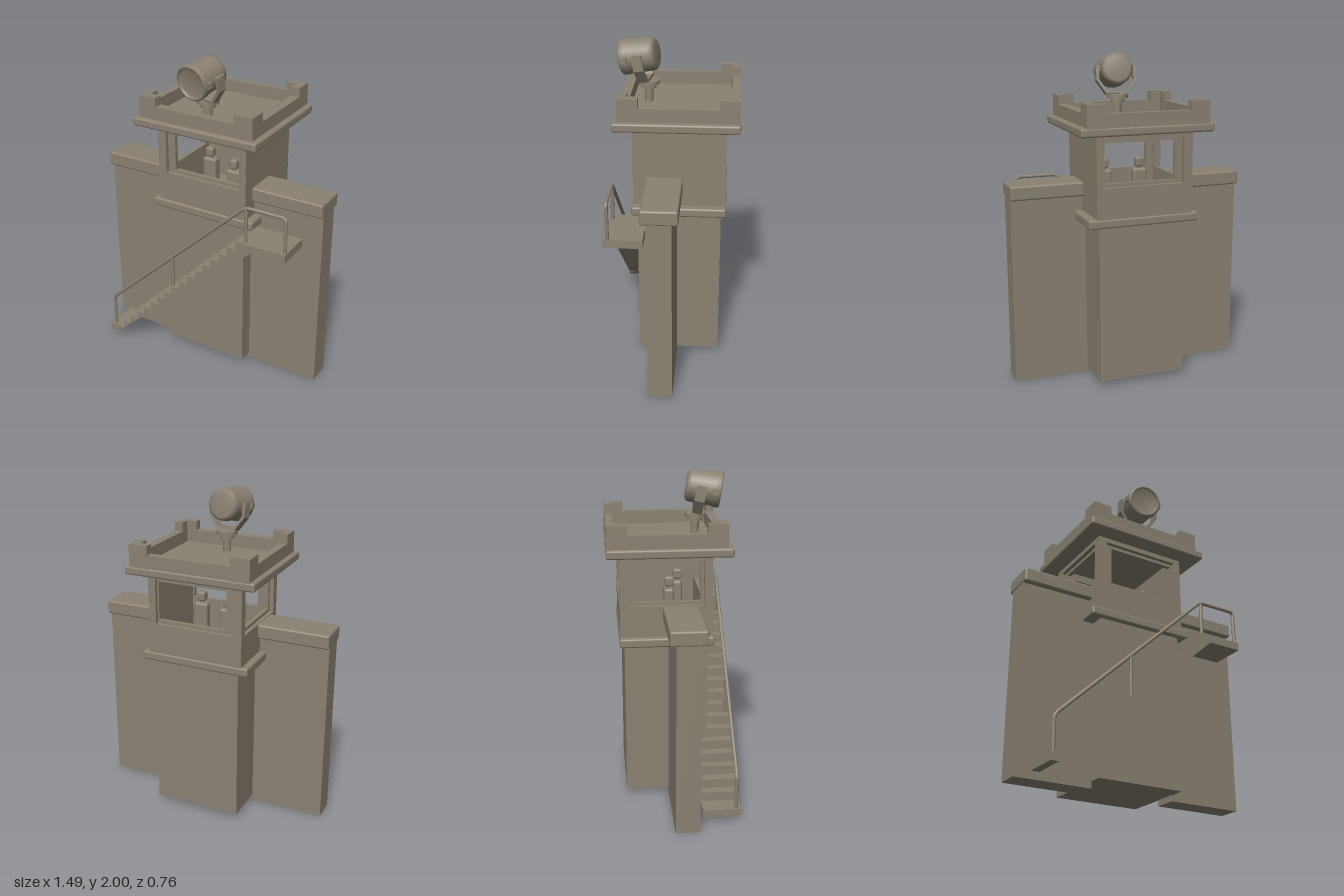
import * as THREE from 'three';
import { RoundedBoxGeometry } from 'three/addons/geometries/RoundedBoxGeometry.js';

const concrete = new THREE.MeshStandardMaterial({ color: 0x8a8172 });
concrete.name = 'weathered concrete';

function add(parent, name, geometry) {
  const mesh = new THREE.Mesh(geometry, concrete);
  mesh.name = name;
  parent.add(mesh);
  return mesh;
}

// Box given by its extents; r > 0 rounds the edges
function box(parent, name, x0, x1, y0, y1, z0, z1, r = 0) {
  const w = x1 - x0, h = y1 - y0, d = z1 - z0;
  const g = r ? new RoundedBoxGeometry(w, h, d, 2, r) : new THREE.BoxGeometry(w, h, d);
  g.translate((x0 + x1) / 2, (y0 + y1) / 2, (z0 + z1) / 2);
  return add(parent, name, g);
}

function polygon(points) {
  return new THREE.Shape(points.map(([x, y]) => new THREE.Vector2(x, y)));
}

function rectangle(x0, x1, y0, y1) {
  return polygon([[x0, y0], [x1, y0], [x1, y1], [x0, y1]]);
}

// Wall sheet in the xy plane with a rectangular opening
function pierced(outer, hole, depth) {
  const shape = rectangle(...outer);
  shape.holes.push(rectangle(...hole));
  return new THREE.ExtrudeGeometry(shape, { depth, bevelEnabled: false });
}

function bar(parent, name, a, b, r, sides = 8) {
  const p = new THREE.Vector3(...a), q = new THREE.Vector3(...b);
  const mesh = add(parent, name, new THREE.CylinderGeometry(r, r, p.distanceTo(q), sides));
  mesh.position.copy(p).lerp(q, 0.5);
  mesh.quaternion.setFromUnitVectors(new THREE.Vector3(0, 1, 0), q.sub(p).normalize());
  return mesh;
}

function group(parent, name) {
  const g = new THREE.Group();
  g.name = name;
  parent.add(g);
  return g;
}

function buildCabin(parent) {
  const cabin = group(parent, 'cabin');
  box(cabin, 'cabinLedge', -0.345, 0.345, 1.01, 1.065, -0.31, 0.25, 0.012);

  // Outer sheet with a wide opening, inner sheet forming the recessed frame
  const windowWall = (name, wall, frame, opening) => {
    const g = group(cabin, name);
    add(g, 'outerWall', pierced(wall, frame, 0.025)).position.z = -0.025;
    add(g, 'windowFrame', pierced(wall, opening, 0.025)).position.z = -0.05;
    return g;
  };
  const wall = [-0.305, 0.295, 1.04, 1.57];
  windowWall('frontWall', wall, [-0.25, 0.285, 1.25, 1.53], [-0.2, 0.24, 1.27, 1.51]).position.z = 0.24;
  const back = windowWall('backWall', [-0.295, 0.305, 1.04, 1.57],
    [-0.285, 0.25, 1.25, 1.53], [-0.24, 0.2, 1.27, 1.51]);
  back.position.z = -0.305;
  back.rotation.y = Math.PI;
  const side = windowWall('rightWall', [-0.3, 0.235, 1.04, 1.57],
    [-0.25, 0.2, 1.25, 1.53], [-0.22, 0.17, 1.27, 1.51]);
  side.position.x = -0.304;
  side.rotation.y = -Math.PI / 2;
  box(cabin, 'leftWall', 0.25, 0.296, 1.04, 1.57, -0.304, 0.239);

  // Two lookouts
  for (const [x, z, top] of [[-0.08, 0, 1.37], [0.125, 0.07, 1.36]]) {
    const guard = group(cabin, 'lookout');
    box(guard, 'torso', x - 0.045, x + 0.045, 1.06, top - 0.07, z - 0.03, z + 0.03, 0.015);
    bar(guard, 'neck', [x, top - 0.08, z], [x, top - 0.04, z], 0.016);
    box(guard, 'head', x - 0.025, x + 0.025, top - 0.06, top, z - 0.025, z + 0.03, 0.012);
  }
}

function buildRoof(parent) {
  const roof = group(parent, 'roof');
  box(roof, 'roofSlab', -0.41, 0.41, 1.56, 1.612, -0.38, 0.345, 0.012);

  // Parapet ring, laid flat
  const ring = pierced([-0.38, 0.375, -0.315, 0.375], [-0.33, 0.32, -0.26, 0.33], 0.085);
  ring.rotateX(-Math.PI / 2);
  add(roof, 'parapet', ring).position.y = 1.605;

  // Raised L-shaped corners
  for (const [x, sx] of [[-0.38, 1], [0.375, -1]]) {
    for (const [z, sz] of [[0.315, -1], [-0.377, 1]]) {
      const t = 0.052, s = 0.118;
      const pts = [[0, 0], [s, 0], [s, t], [t, t], [t, s], [0, s]]
        .map(([a, b]) => [x + sx * a, -(z + sz * b)]);
      const g = new THREE.ExtrudeGeometry(polygon(pts), { depth: 0.14, bevelEnabled: false });
      g.rotateX(-Math.PI / 2);
      add(roof, 'parapetCorner', g).position.y = 1.605;
    }
  }
}

function buildStairs(parent) {
  const stairs = group(parent, 'stairs');
  // Stepped profile with the landing at the top
  const steps = 16, x0 = -0.6, y0 = 0.085, run = 0.91 / steps, rise = 0.915 / steps;
  const pts = [[-0.6, 0.038], [0.41, 0.95], [0.63, 0.95], [0.63, 1.0]];
  for (let i = steps - 1; i >= 0; i--) {
    pts.push([x0 + run * (i + 1), y0 + rise * (i + 1)], [x0 + run * (i + 1), y0 + rise * i]);
  }
  pts.push([-0.65, y0], [-0.65, 0.038]);
  const flight = new THREE.ExtrudeGeometry(polygon(pts), { depth: 0.225, bevelEnabled: false });
  add(stairs, 'stairFlight', flight).position.z = 0.155;

  // Handrail and posts
  const z = 0.355, r = 0.011;
  const path = [[-0.625, 0.07], [-0.625, 0.285], [-0.605, 0.315], [0.34, 1.205], [0.375, 1.222],
    [0.605, 1.222], [0.617, 1.21], [0.617, 0.99]];
  const rail = new THREE.CurvePath();
  for (let i = 1; i < path.length; i++) {
    rail.add(new THREE.LineCurve3(new THREE.Vector3(...path[i - 1], z), new THREE.Vector3(...path[i], z)));
  }
  add(stairs, 'handrail', new THREE.TubeGeometry(rail, 120, r, 8));
  bar(stairs, 'railPost', [0.365, 0.99, z], [0.365, 1.215, z], r);
  bar(stairs, 'railPost', [-0.15, 0.49, z], [-0.15, 0.74, z], r);
}

function buildSearchlight(parent) {
  const light = group(parent, 'searchlight');
  bar(light, 'lightPole', [0, 1.6, 0.165], [0, 1.72, 0.165], 0.025, 12);
  bar(light, 'lightBase', [0, 1.695, 0.165], [0, 1.715, 0.165], 0.045, 12);
  bar(light, 'turntable', [0, 1.72, 0.165], [0, 1.742, 0.165], 0.066, 12);

  const head = group(light, 'lampHead');
  head.position.set(0, 1.89, 0.215);
  head.rotation.set(0.15, -0.15, 0, 'YXZ');
  // Drum with a rounded back and a recessed lens
  const profile = [[0, -0.105], [0.075, -0.105], [0.094, -0.092], [0.098, -0.07], [0.102, 0.06],
    [0.107, 0.065], [0.107, 0.1], [0.1, 0.108], [0.09, 0.108], [0.087, 0.09], [0, 0.09]];
  const drum = new THREE.LatheGeometry(profile.map(p => new THREE.Vector2(...p)), 24);
  drum.rotateX(Math.PI / 2);
  add(head, 'lampDrum', drum);
  for (const s of [-1, 1]) {
    bar(head, 'pivot', [s * 0.09, 0, 0], [s * 0.128, 0, 0], 0.022, 10);
    box(head, 'lampClip', s * 0.108 - 0.01, s * 0.108 + 0.01, -0.018, 0.018, 0.055, 0.09);
  }

  // Faceted U-shaped yoke
  const half = [[0.126, 0.03], [0.126, -0.06], [0.066, -0.145]];
  const inner = [[0.108, 0.03], [0.108, -0.055], [0.058, -0.127]];
  const flip = list => list.map(([x, y]) => [-x, y]);
  const outline = [...half, ...flip(half).reverse(), ...flip(inner), ...inner.slice().reverse()];
  const yoke = new THREE.ExtrudeGeometry(polygon(outline), { depth: 0.06, bevelEnabled: false });
  yoke.translate(0, 0, -0.03);
  const mesh = add(light, 'yoke', yoke);
  mesh.position.set(0, 1.885, 0.205);
  mesh.rotation.set(0.18, -0.15, 0, 'YXZ');
}

export function createModel() {
  const model = new THREE.Group();
  model.name = 'watchtower';

  box(model, 'towerShaft', -0.275, 0.275, 0.038, 1.03, -0.28, 0.22);

  // Wall sections with coping on both sides
  for (const [side, s] of [['right', -1], ['left', 1]]) {
    const span = (a, b) => (s > 0 ? [a, b] : [-b, -a]);
    box(model, side + 'Wall', ...span(0.268, 0.742), 0, 1.17, -0.017, 0.127);
    box(model, side + 'WallCoping', ...span(0.29, 0.746), 1.158, 1.246, -0.053, 0.16, 0.012);
  }

  buildCabin(model);
  buildRoof(model);
  buildStairs(model);
  buildSearchlight(model);
  return model;
}
